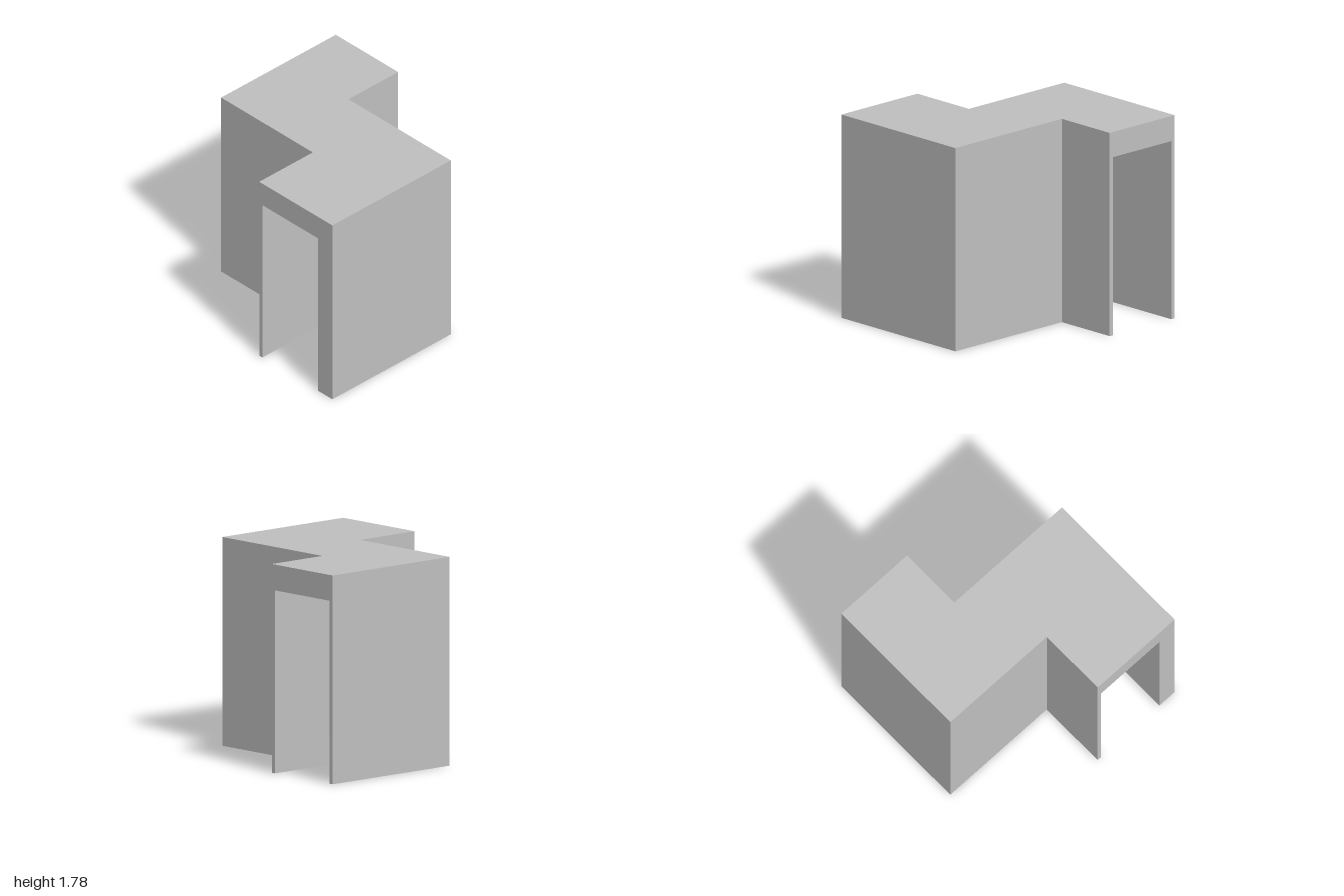
import * as THREE from 'three';

const HEIGHT = 1.78, CEILING = 1.56, FRONT = 0.978, BACK = -0.978;

// Plan lines [x, z] of the two cranked walls, running from front to back
const leftOuter = [[1, FRONT], [1, -0.4], [-0.243, -0.4], [-0.243, BACK]];
const leftInner = [[0.825, FRONT], [0.825, -0.362], [-0.281, -0.362], [-0.281, BACK]];
const rightOuter = [[0.113, FRONT], [0.113, 0.355], [-1, 0.355], [-1, BACK]];
const rightInner = [[0.15, FRONT], [0.15, 0.317], [-0.962, 0.317], [-0.962, BACK]];

const reversed = (line) => [...line].reverse();

function flatShape(points) {
  return new THREE.ShapeGeometry(new THREE.Shape(points.map(([x, y]) => new THREE.Vector2(x, y))));
}

// Horizontal faces from plan outlines
function faceUp(plan, y) {
  return flatShape(plan.map(([x, z]) => [x, -z])).rotateX(-Math.PI / 2).translate(0, y, 0);
}
function faceDown(plan, y) {
  return flatShape(plan).rotateX(Math.PI / 2).translate(0, y, 0);
}

// Upright faces along a plan line; they face to the right of its direction
function uprightStrip(line, top) {
  const pos = [];
  for (let i = 0; i < line.length - 1; i++) {
    const [ax, az] = line[i], [bx, bz] = line[i + 1];
    pos.push(ax, 0, az, bx, 0, bz, bx, top, bz);
    pos.push(ax, 0, az, bx, top, bz, ax, top, az);
  }
  const geometry = new THREE.BufferGeometry();
  geometry.setAttribute('position', new THREE.Float32BufferAttribute(pos, 3));
  geometry.computeVertexNormals();
  return geometry;
}

// Doorway outline: a portal open at the bottom
function portal(x0, inner0, inner1, x1) {
  return flatShape([[x0, 0], [inner0, 0], [inner0, CEILING], [inner1, CEILING],
    [inner1, 0], [x1, 0], [x1, HEIGHT], [x0, HEIGHT]]);
}

export function createModel() {
  const model = new THREE.Group();
  model.name = 'crankedPassage';
  const grey = new THREE.MeshStandardMaterial({ color: 0xc0c0c0 });
  grey.name = 'light grey';

  const add = (name, geometry, parent = model) => {
    const mesh = new THREE.Mesh(geometry, grey);
    mesh.name = name;
    parent.add(mesh);
  };

  // Roof slab: top and underside
  add('roofTop', faceUp([...leftOuter, ...reversed(rightOuter)], HEIGHT));
  add('ceiling', faceDown([...leftInner, ...reversed(rightInner)], CEILING));

  // Walls: outside, inside and foot
  const addWall = (name, outer, inner, outerLine, innerLine) => {
    const wall = new THREE.Group();
    wall.name = name;
    add(name + 'Outside', uprightStrip(outerLine, HEIGHT), wall);
    add(name + 'Inside', uprightStrip(innerLine, CEILING), wall);
    add(name + 'Foot', faceDown([...outer, ...reversed(inner)], 0), wall);
    model.add(wall);
  };
  addWall('leftWall', leftOuter, leftInner, leftOuter, reversed(leftInner));
  addWall('rightWall', rightOuter, rightInner, reversed(rightOuter), rightInner);

  // Doorways at both ends
  add('frontDoorway', portal(0.113, 0.15, 0.825, 1).translate(0, 0, FRONT));
  add('backDoorway', portal(0.243, 0.281, 0.962, 1).rotateY(Math.PI).translate(0, 0, BACK));

  return model;
}
